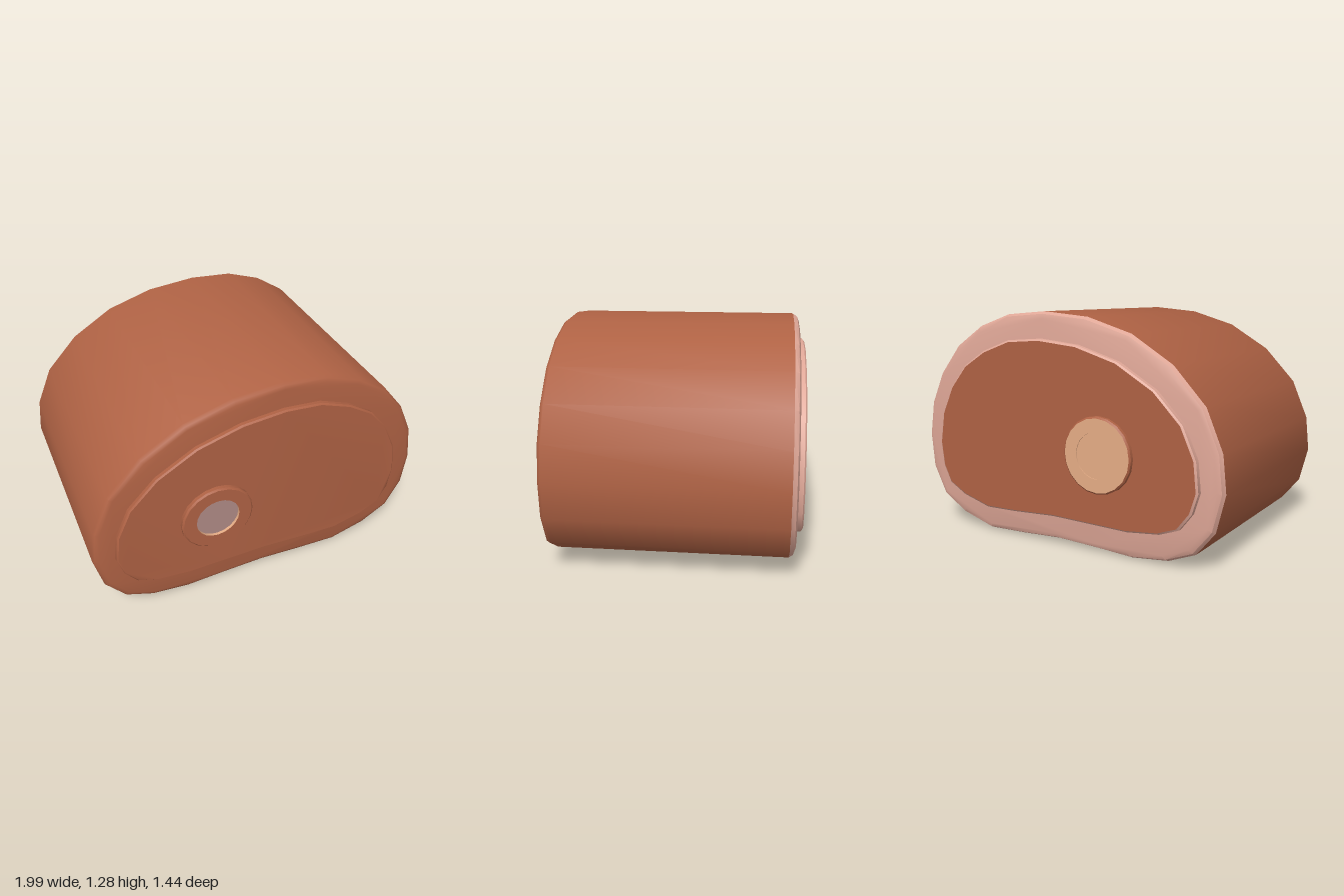
import * as THREE from 'three';
import { toCreasedNormals } from 'three/addons/utils/BufferGeometryUtils.js';

// Outer contour and cut-face contour, listed clockwise from the left
const OUTER = [
  [-0.98, 0.42], [-0.96, 0.62], [-0.867, 0.84], [-0.685, 1.035], [-0.447, 1.18], [-0.18, 1.26],
  [0.1, 1.285], [0.35, 1.265], [0.555, 1.195], [0.73, 1.08], [0.865, 0.915], [0.95, 0.73],
  [0.98, 0.53], [0.96, 0.33], [0.875, 0.165], [0.72, 0.07], [0.51, 0.008], [0.27, 0.015],
  [0.02, 0.028], [-0.23, 0.018], [-0.455, 0.005], [-0.67, 0.028], [-0.825, 0.09], [-0.93, 0.22],
];
const INNER = [
  [-0.86, 0.42], [-0.845, 0.58], [-0.77, 0.75], [-0.615, 0.91], [-0.395, 1.04], [-0.145, 1.115],
  [0.1, 1.14], [0.31, 1.125], [0.49, 1.06], [0.635, 0.97], [0.745, 0.84], [0.82, 0.68],
  [0.848, 0.5], [0.83, 0.36], [0.78, 0.26], [0.67, 0.2], [0.49, 0.15], [0.29, 0.155],
  [0.02, 0.17], [-0.23, 0.165], [-0.455, 0.16], [-0.645, 0.18], [-0.755, 0.22], [-0.825, 0.31],
];

// Shrinks a contour toward its middle and returns it counter-clockwise
function inset(contour, amount) {
  const sx = 1 - amount / 0.95, sy = 1 - amount / 0.62;
  return contour.map(([x, y]) => [x * sx, 0.6 + (y - 0.6) * sy]).reverse();
}

// Skins rings [z, inset] ordered back to front, with optional end caps
function loft(contour, rings, { back = false, front = false } = {}) {
  const n = contour.length;
  const pos = [], index = [];
  rings.forEach(([z, amount]) => inset(contour, amount).forEach(([x, y]) => pos.push(x, y, z)));
  for (let r = 0; r < rings.length - 1; r++) {
    for (let i = 0; i < n; i++) {
      const j = (i + 1) % n, a = r * n + i, b = r * n + j;
      index.push(a, b, b + n, a, b + n, a + n);
    }
  }
  const cap = THREE.ShapeUtils.triangulateShape(
    inset(contour, 0).map(([x, y]) => new THREE.Vector2(x, y)), []);
  const last = (rings.length - 1) * n;
  cap.forEach(([a, b, c]) => {
    if (front) index.push(last + a, last + b, last + c);
    if (back) index.push(c, b, a);
  });
  const geo = new THREE.BufferGeometry();
  geo.setAttribute('position', new THREE.Float32BufferAttribute(pos, 3));
  geo.setIndex(index);
  return toCreasedNormals(geo, 0.7);
}

// Turned part whose axis points forward (side 1) or backward (side -1)
function turned(profile, side) {
  const geo = new THREE.LatheGeometry(profile.map(([r, h]) => new THREE.Vector2(r, h)), 20);
  return toCreasedNormals(geo.rotateX(side * Math.PI / 2), 0.6);
}

function material(name, color) {
  const m = new THREE.MeshStandardMaterial({ color });
  m.name = name;
  return m;
}

export function createModel() {
  const meat = material('roasted meat', 0xaf6244);
  const fat = material('pale fat', 0xdfa797);
  const bone = material('bone', 0xe6ad86);
  const marrow = material('marrow', 0xb08a86);

  const model = new THREE.Group();
  model.name = 'roastJoint';
  const roast = new THREE.Group();
  roast.name = 'roast';
  roast.rotation.y = -0.027;
  model.add(roast);

  const add = (name, geo, mat, parent = roast) => {
    const mesh = new THREE.Mesh(geo, mat);
    mesh.name = name;
    parent.add(mesh);
    return mesh;
  };

  // Main body with a rounded front rim
  add('body', loft(OUTER, [[-0.62, 0], [0.635, 0], [0.652, 0.01], [0.66, 0.03]], { front: true }), meat);
  // Fat layer around the back end
  add('backFat', loft(OUTER, [[-0.652, 0.035], [-0.643, 0.012], [-0.62, 0]], { back: true }), fat);

  // Raised cut faces at both ends
  add('frontCut', loft(INNER, [[0.64, 0], [0.68, 0], [0.688, 0.01]], { front: true }), meat);
  add('backCutRim', loft(INNER, [[-0.688, 0.012], [-0.68, 0], [-0.64, 0]]), fat);
  add('backCut', loft(INNER, [[-0.688, 0.012], [-0.687, 0.012]], { back: true }), meat);

  // Bone stub at each end
  for (const side of [1, -1]) {
    const stub = new THREE.Group();
    stub.name = side > 0 ? 'frontBone' : 'backBone';
    stub.position.set(-0.29, 0.55, 0);
    roast.add(stub);
    add('boneCollar', turned([[0.207, 0.66], [0.207, 0.708], [0.198, 0.716]], side), meat, stub);
    add('boneRing', turned([[0.198, 0.716], [0.125, 0.716]], side), side > 0 ? meat : bone, stub);
    // Small recess with the core at its floor
    const depth = side > 0 ? 0.7 : 0.712;
    add('boneWall', turned([[0.125, 0.716], [0.125, depth]], side), bone, stub);
    add('boneCore', turned([[0.125, depth], [0, depth]], side), side > 0 ? marrow : bone, stub);
  }
  return model;
}
